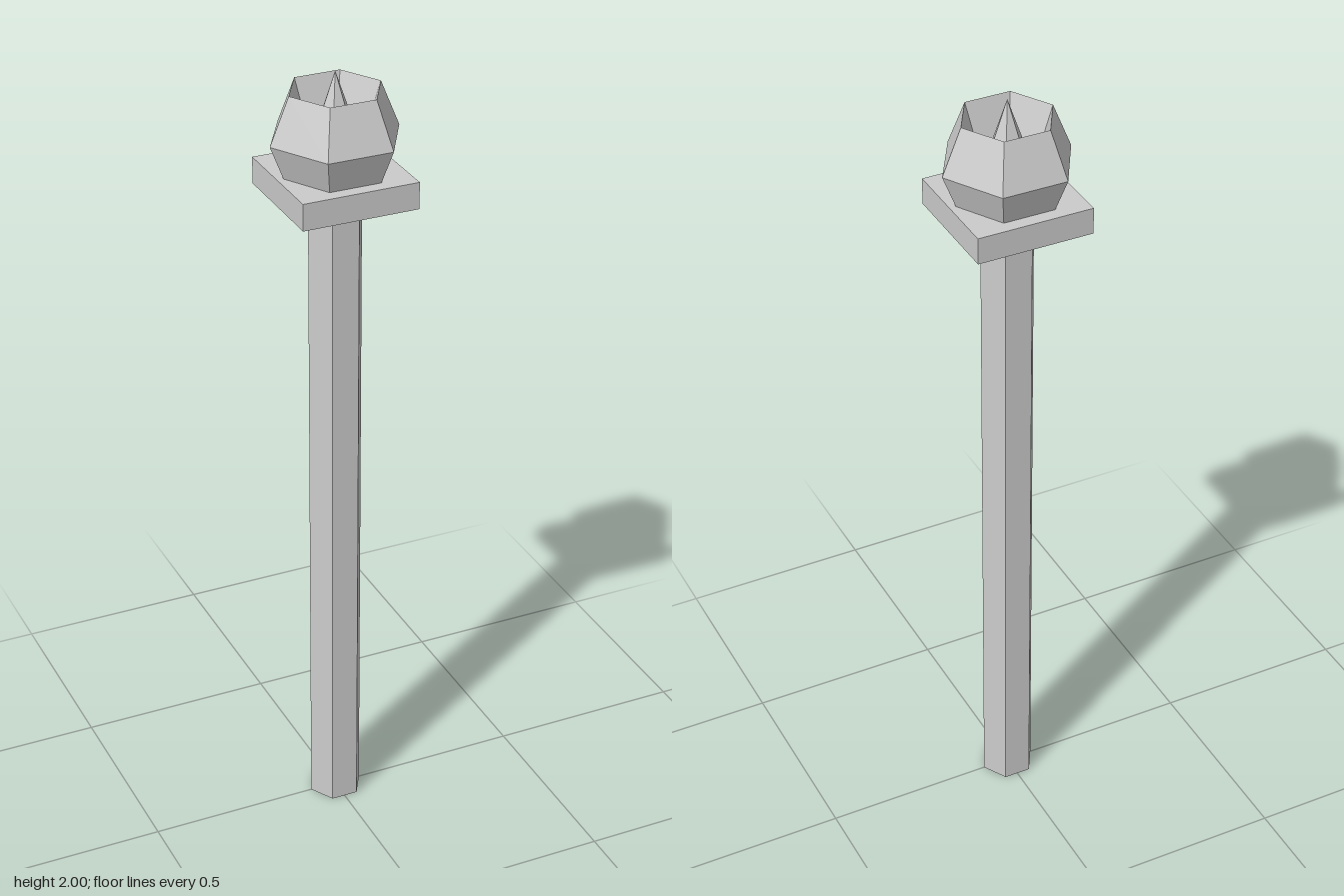
import * as THREE from 'three';

export function createModel() {
  const group = new THREE.Group();
  const material = new THREE.MeshStandardMaterial({ color: 0xcccccc, flatShading: true });
  const turn = Math.PI / 6; // puts hexagon corners on the x axis

  const add = (name, geometry, y = 0) => {
    const mesh = new THREE.Mesh(geometry, material);
    mesh.name = name;
    mesh.position.y = y;
    group.add(mesh);
  };

  // Hexagonal post
  const postHeight = 1.69;
  add('post', new THREE.CylinderGeometry(0.069, 0.069, postHeight, 6, 1, false, turn), postHeight / 2);

  // Square plate on top of the post
  const plateHeight = 0.067;
  add('capPlate', new THREE.BoxGeometry(0.292, plateHeight, 0.292), postHeight + plateHeight / 2);

  // Faceted bud: flared wall, sharp rim, hollow sloping inward to a central spike
  const profile = [
    [0, 1.757], [0.13, 1.757], [0.163, 1.841], [0.115, 1.957], [0.067, 1.81], [0, 2],
  ].map(([r, y]) => new THREE.Vector2(r, y));
  add('budFinial', new THREE.LatheGeometry(profile, 6, turn));

  return group;
}
